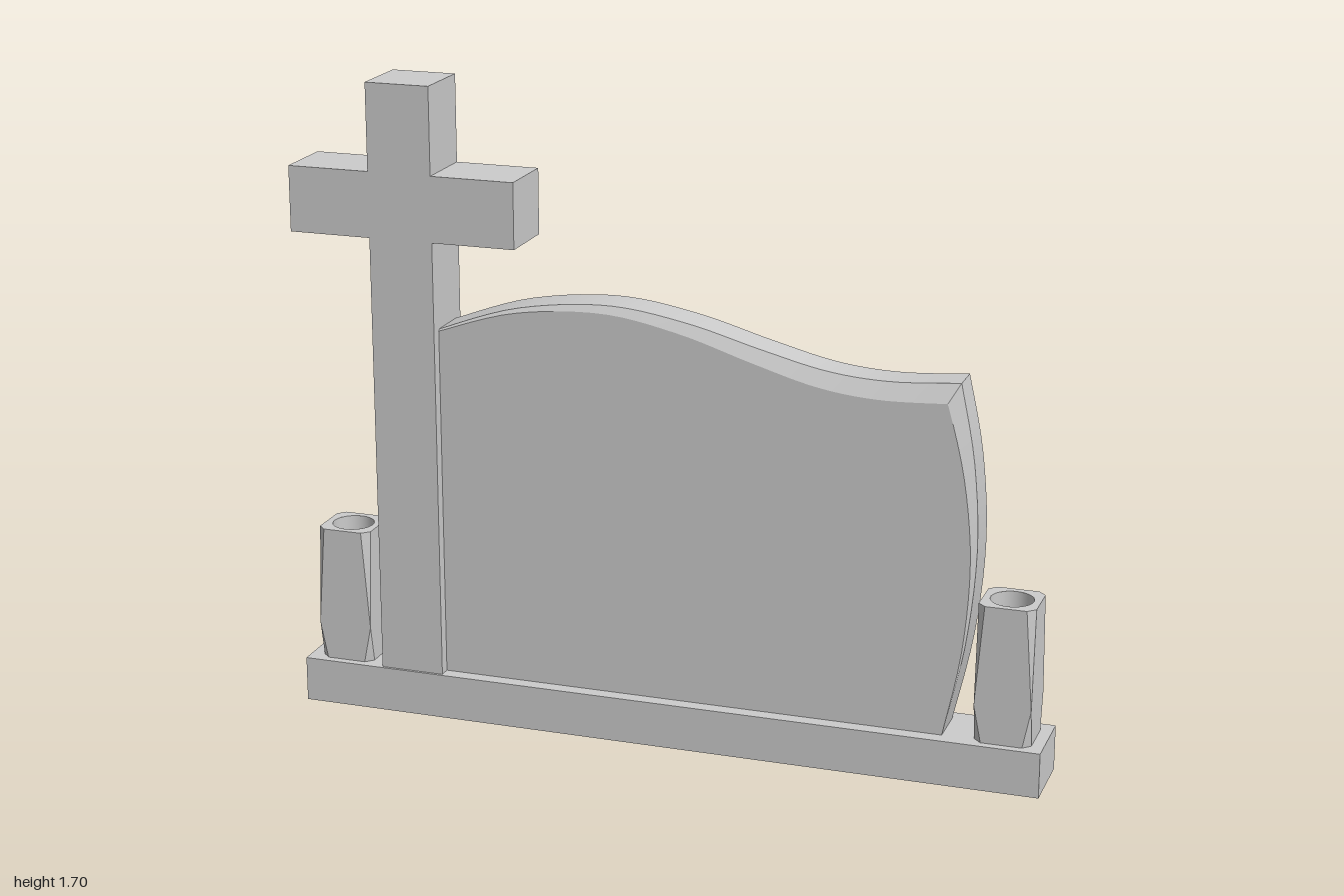
import * as THREE from 'three';
import { toCreasedNormals } from 'three/addons/utils/BufferGeometryUtils.js';

const stone = new THREE.MeshStandardMaterial({ color: 0xcccccc });
const stoneInner = new THREE.MeshStandardMaterial({ color: 0xcccccc, side: THREE.DoubleSide });

function mesh(name, geometry, material = stone) {
  const m = new THREE.Mesh(geometry, material);
  m.name = name;
  return m;
}

// Box given by its limits
function block(name, x0, x1, y0, y1, depth) {
  const g = new THREE.BoxGeometry(x1 - x0, y1 - y0, depth);
  g.translate((x0 + x1) / 2, (y0 + y1) / 2, 0);
  return mesh(name, g);
}

// Skin counter-clockwise rings stacked along z, with caps at the ends
function loft(rings, capEnd = true) {
  const pos = [];
  const tri = (...pts) => pts.forEach((p) => pos.push(p.x, p.y, p.z));
  for (let k = 0; k < rings.length - 1; k++) {
    const lo = rings[k], hi = rings[k + 1], n = lo.length;
    for (let i = 0; i < n; i++) {
      const j = (i + 1) % n;
      if (lo[i].distanceTo(lo[j]) > 1e-6) tri(lo[i], lo[j], hi[j]);
      if (hi[i].distanceTo(hi[j]) > 1e-6) tri(lo[i], hi[j], hi[i]);
    }
  }
  const cap = (ring, flip) => {
    const flat = ring.map((p) => new THREE.Vector2(p.x, p.y));
    for (const [a, b, c] of THREE.ShapeUtils.triangulateShape(flat, [])) {
      if (flip) tri(ring[a], ring[c], ring[b]);
      else tri(ring[a], ring[b], ring[c]);
    }
  };
  cap(rings[0], true);
  if (capEnd) cap(rings[rings.length - 1], false);
  const g = new THREE.BufferGeometry();
  g.setAttribute('position', new THREE.Float32BufferAttribute(pos, 3));
  return toCreasedNormals(g, 0.3);
}

const curve = (pts) => new THREE.SplineCurve(pts.map(([x, y]) => new THREE.Vector2(x, y)));

// Wavy slab with a front bevel that widens towards the upper right corner
function headstone() {
  const half = 0.057, left = -0.61, floor = 0.12;
  const side = curve([[0.74, floor], [0.791, 0.36], [0.813, 0.61], [0.798, 0.84], [0.758, 1.04]]);
  const top = curve([[0.758, 1.04], [0.58, 1.028], [0.42, 1.04], [0.25, 1.08], [0.05, 1.133],
    [-0.16, 1.16], [-0.4, 1.132], [left, 1.06]]);
  const back = [], edge = [], front = [];
  const add = (x, y, dx, dy, dz) => {
    back.push(new THREE.Vector3(x, y, -half));
    edge.push(new THREE.Vector3(x, y, half - dz));
    front.push(new THREE.Vector3(x - dx, y - dy, half));
  };
  add(left, floor, 0, 0, 0);
  for (let i = 0; i < 20; i++) {
    const s = i / 20, p = side.getPoint(s);
    add(p.x, p.y, 0.027 * s, 0.048 * s, 0.027 * s);
  }
  for (let i = 0; i <= 40; i++) {
    const p = top.getPoint(i / 40);
    const t = (p.x - left) / (0.758 - left);
    add(p.x, p.y, 0.027 * t, 0.005 + 0.043 * t, 0.005 + 0.022 * t);
  }
  return mesh('headstone', loft([back, edge, front]));
}

// Square vase whose corners are cut away above and below its widest level
function vase(name, x) {
  const a = 0.073, height = 0.365, r = 0.055, depth = 0.06;
  const ring = (c, z) => [[c - a, -a], [a - c, -a], [a, c - a], [a, a - c],
    [a - c, a], [c - a, a], [-a, a - c], [-a, c - a]].map(([u, v]) => new THREE.Vector3(u, v, z));
  const topRing = ring(0.02, height);
  const group = new THREE.Group();
  group.name = name;

  const body = loft([ring(0.02, 0), ring(0, 0.1), topRing], false);
  body.rotateX(-Math.PI / 2);
  group.add(mesh('vaseBody', body));

  const rimShape = new THREE.Shape(topRing.map((p) => new THREE.Vector2(p.x, p.y)));
  rimShape.holes.push(new THREE.Path().absarc(0, 0, r, 0, Math.PI * 2, true));
  const rim = new THREE.ShapeGeometry(rimShape, 32);
  rim.rotateX(-Math.PI / 2).translate(0, height, 0);
  group.add(mesh('vaseRim', rim));

  const wall = new THREE.CylinderGeometry(r, r, depth, 32, 1, true);
  wall.translate(0, height - depth / 2, 0);
  group.add(mesh('vaseWell', wall, stoneInner));
  const bottom = new THREE.CircleGeometry(r, 32);
  bottom.rotateX(-Math.PI / 2).translate(0, height - depth, 0);
  group.add(mesh('vaseWellFloor', bottom));

  group.position.set(x, 0.12, 0);
  return group;
}

// Cross outline extruded as a single piece
function cross() {
  const depth = 0.176;
  const outline = [[-0.78, 0.12], [-0.608, 0.12], [-0.608, 1.295], [-0.385, 1.295], [-0.385, 1.468],
    [-0.608, 1.468], [-0.608, 1.697], [-0.78, 1.697], [-0.78, 1.468], [-1, 1.468], [-1, 1.295], [-0.78, 1.295]];
  const shape = new THREE.Shape(outline.map(([x, y]) => new THREE.Vector2(x, y)));
  const g = new THREE.ExtrudeGeometry(shape, { depth, bevelEnabled: false });
  g.translate(0, 0, -depth / 2);
  return mesh('cross', g);
}

export function createModel() {
  const model = new THREE.Group();
  model.name = 'gravestone';
  model.add(block('base', -1, 1, 0, 0.12, 0.19));
  model.add(cross(), headstone());
  model.add(vase('leftVase', 0.896), vase('rightVase', -0.892));
  return model;
}
